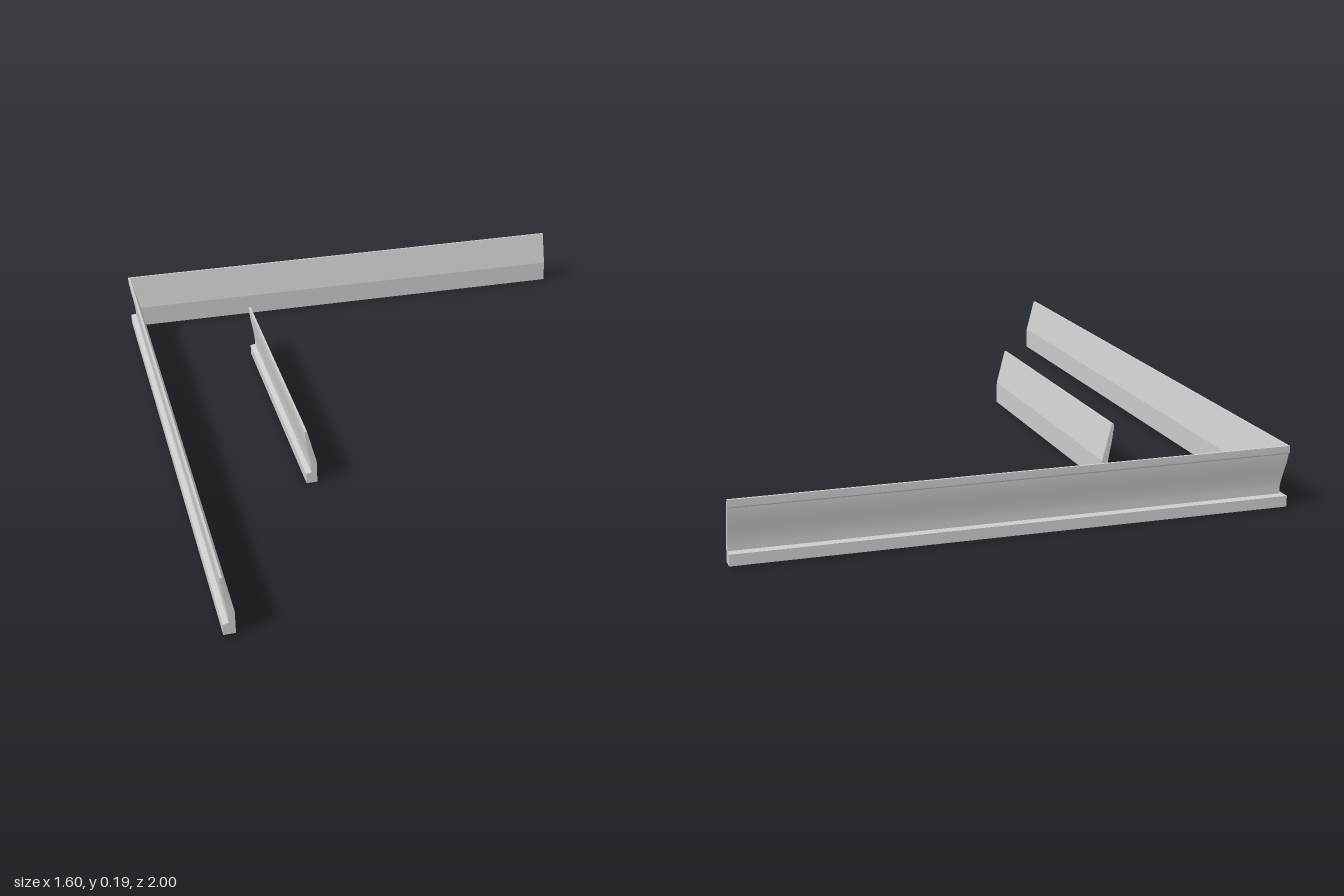
import * as THREE from 'three';
import { toCreasedNormals } from 'three/addons/utils/BufferGeometryUtils.js';

// Moulding cross-section: x = distance in from the outer face, y = height
function mouldingProfile() {
  const s = new THREE.Shape();
  s.moveTo(0, 0);
  s.lineTo(0.034, 0);
  s.lineTo(0.034, 0.07);
  s.lineTo(0.007, 0.18);
  s.lineTo(0, 0.18);
  s.lineTo(0, 0.16);
  s.lineTo(0.002, 0.156);
  // hollow outer face, down to the foot
  s.bezierCurveTo(0.004, 0.12, 0.014, 0.09, 0.016, 0.055);
  s.lineTo(0.016, 0.036);
  s.lineTo(0, 0.032);
  s.closePath();
  return s;
}

// Straight length from z0 to z1; a mitred end is cut back at 45 degrees
function moulding(name, z0, z1, { mitreStart = false, mitreEnd = false } = {}) {
  const geo = new THREE.ExtrudeGeometry(mouldingProfile(), {
    depth: z1 - z0, bevelEnabled: false, curveSegments: 10,
  });
  const p = geo.attributes.position;
  const middle = (z1 - z0) / 2;
  for (let i = 0; i < p.count; i++) {
    const u = p.getX(i), z = p.getZ(i);
    if (z < middle && mitreStart) p.setZ(i, z + u);
    if (z > middle && mitreEnd) p.setZ(i, z - u);
  }
  geo.translate(0, 0, z0);
  const mesh = new THREE.Mesh(
    toCreasedNormals(geo, 0.2),
    new THREE.MeshStandardMaterial({ color: 0xcccccc }),
  );
  mesh.name = name;
  return mesh;
}

export function createModel() {
  const group = new THREE.Group();
  group.name = 'mouldings';

  // Two long lengths meeting in a mitred corner
  const side = moulding('sideMoulding', -1, 1, { mitreStart: true });
  side.position.set(-0.798, 0.006, 0);
  const back = moulding('backMoulding', -0.798, 0.798, { mitreEnd: true });
  back.rotation.y = -Math.PI / 2;
  back.position.set(0, 0.006, -1);

  // Short loose length
  const short = moulding('shortMoulding', -0.64, 0.29);
  short.position.x = -0.42;

  group.add(side, back, short);
  return group;
}
